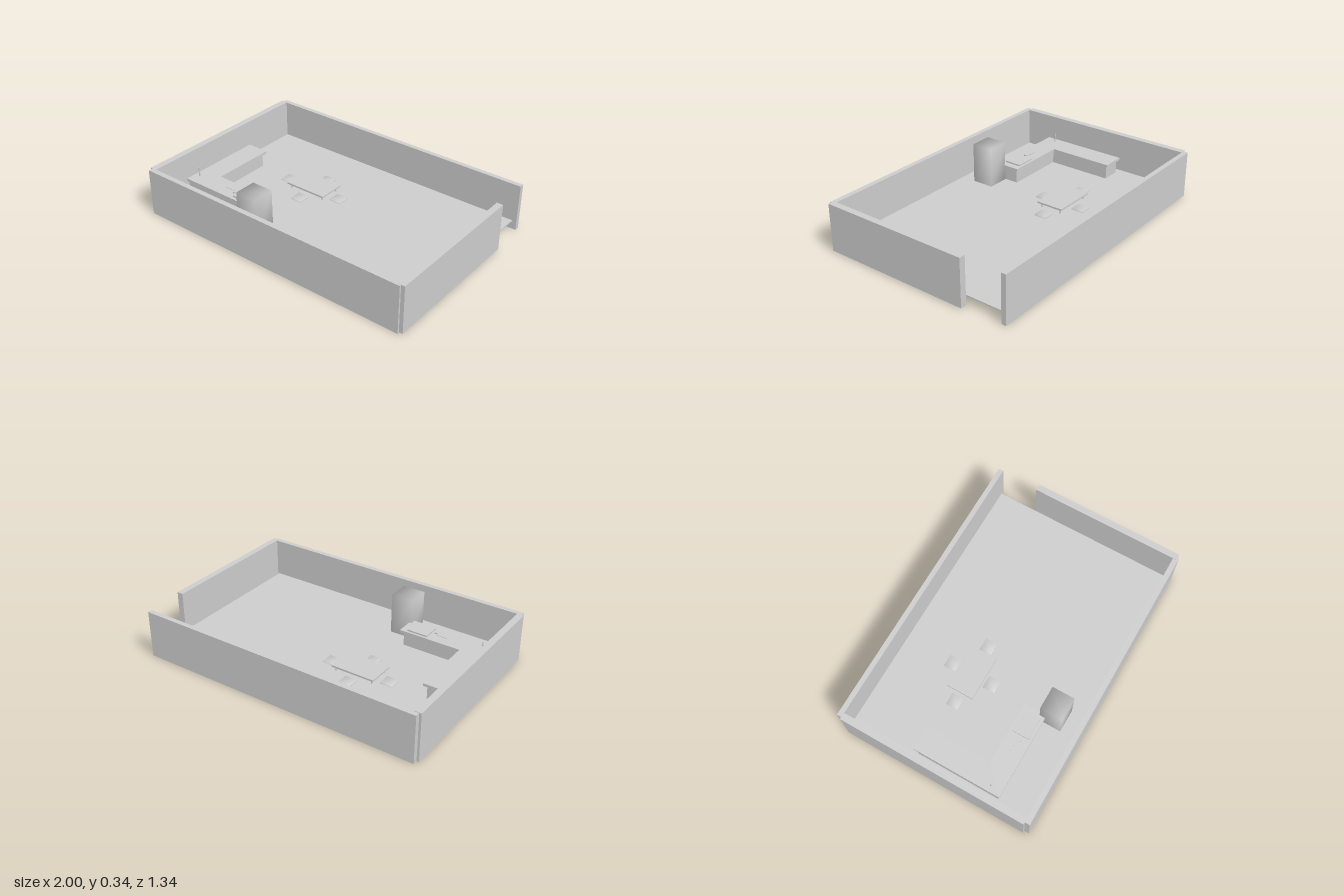
import * as THREE from 'three';
import { mergeVertices } from 'three/addons/utils/BufferGeometryUtils.js';

const grey = new THREE.MeshStandardMaterial({ color: 0xcccccc });
grey.name = 'plainGrey';

// Adds a box given by its extents on each axis; soft boxes share corner normals
function box(parent, name, [x0, x1], [y0, y1], [z0, z1], soft = false) {
  let geo = new THREE.BoxGeometry(x1 - x0, y1 - y0, z1 - z0);
  if (soft) {
    geo.deleteAttribute('normal');
    geo.deleteAttribute('uv');
    geo = mergeVertices(geo);
    geo.computeVertexNormals();
  }
  const mesh = new THREE.Mesh(geo, grey);
  mesh.name = name;
  mesh.position.set((x0 + x1) / 2, (y0 + y1) / 2, (z0 + z1) / 2);
  parent.add(mesh);
  return mesh;
}

function rod(parent, name, x, z, y0, y1, r) {
  const mesh = new THREE.Mesh(new THREE.CylinderGeometry(r, r, y1 - y0, 12), grey);
  mesh.name = name;
  mesh.position.set(x, (y0 + y1) / 2, z);
  parent.add(mesh);
}

function part(parent, name) {
  const group = new THREE.Group();
  group.name = name;
  parent.add(group);
  return group;
}

export function createModel() {
  const model = new THREE.Group();
  model.name = 'room';

  // Floor raised above the bottom edge of the walls
  box(model, 'floor', [-0.955, 0.945], [0.055, 0.062], [-0.642, 0.635]);

  // Walls; the right-hand side leaves a doorway at the back
  const walls = part(model, 'walls');
  box(walls, 'backWall', [-0.985, 0.975], [0, 0.322], [-0.673, -0.64]);
  box(walls, 'frontWall', [-0.985, 0.975], [0, 0.325], [0.632, 0.667]);
  box(walls, 'sideWall', [-1, -0.955], [0, 0.325], [-0.642, 0.634]);
  box(walls, 'doorwayWall', [0.957, 1], [0.005, 0.327], [-0.377, 0.655]);

  // L-shaped kitchen counter: inset base and overhanging slab
  const counter = part(model, 'counter');
  box(counter, 'longBase', [-0.905, -0.775], [0.06, 0.16], [-0.17, 0.405]);
  box(counter, 'shortBase', [-0.775, -0.345], [0.06, 0.16], [0.28, 0.405]);
  const outline = [[-0.913, -0.19], [-0.755, -0.19], [-0.755, 0.26], [-0.325, 0.26], [-0.325, 0.417], [-0.913, 0.417]];
  const slab = new THREE.ExtrudeGeometry(
    new THREE.Shape(outline.map(([x, z]) => new THREE.Vector2(x, -z))),
    { depth: 0.018, bevelEnabled: false });
  slab.rotateX(-Math.PI / 2);
  const top = new THREE.Mesh(slab, grey);
  top.name = 'counterTop';
  top.position.y = 0.158;
  counter.add(top);

  // Stove plate, small knobs and tap on the counter
  box(counter, 'stovePlate', [-0.513, -0.373], [0.174, 0.186], [0.277, 0.395]);
  for (let i = 0; i < 4; i++) {
    const x = -0.625 + i * 0.019;
    box(counter, 'button', [x, x + 0.012], [0.175, 0.18], [0.333, 0.338]);
  }
  rod(counter, 'knob', -0.54, 0.353, 0.174, 0.186, 0.01);
  rod(counter, 'tap', -0.875, 0.337, 0.17, 0.235, 0.004);

  // Refrigerator with softly shaded corners
  box(model, 'refrigerator', [-0.342, -0.188], [0.045, 0.338], [0.378, 0.53], true);

  // Dining table
  const table = part(model, 'table');
  box(table, 'tableTop', [-0.443, -0.138], [0.092, 0.104], [-0.242, -0.053]);
  for (const x of [-0.42, -0.16])
    for (const z of [-0.22, -0.075])
      rod(table, 'tableLeg', x, z, 0.015, 0.095, 0.005);

  // Four seats around the table
  const seats = part(model, 'seats');
  for (const [x, z] of [[-0.29, -0.29], [-0.29, 0], [-0.503, -0.147], [-0.078, -0.147]])
    box(seats, 'seat', [x - 0.042, x + 0.042], [0.048, 0.07], [z - 0.042, z + 0.042], true);

  return model;
}
